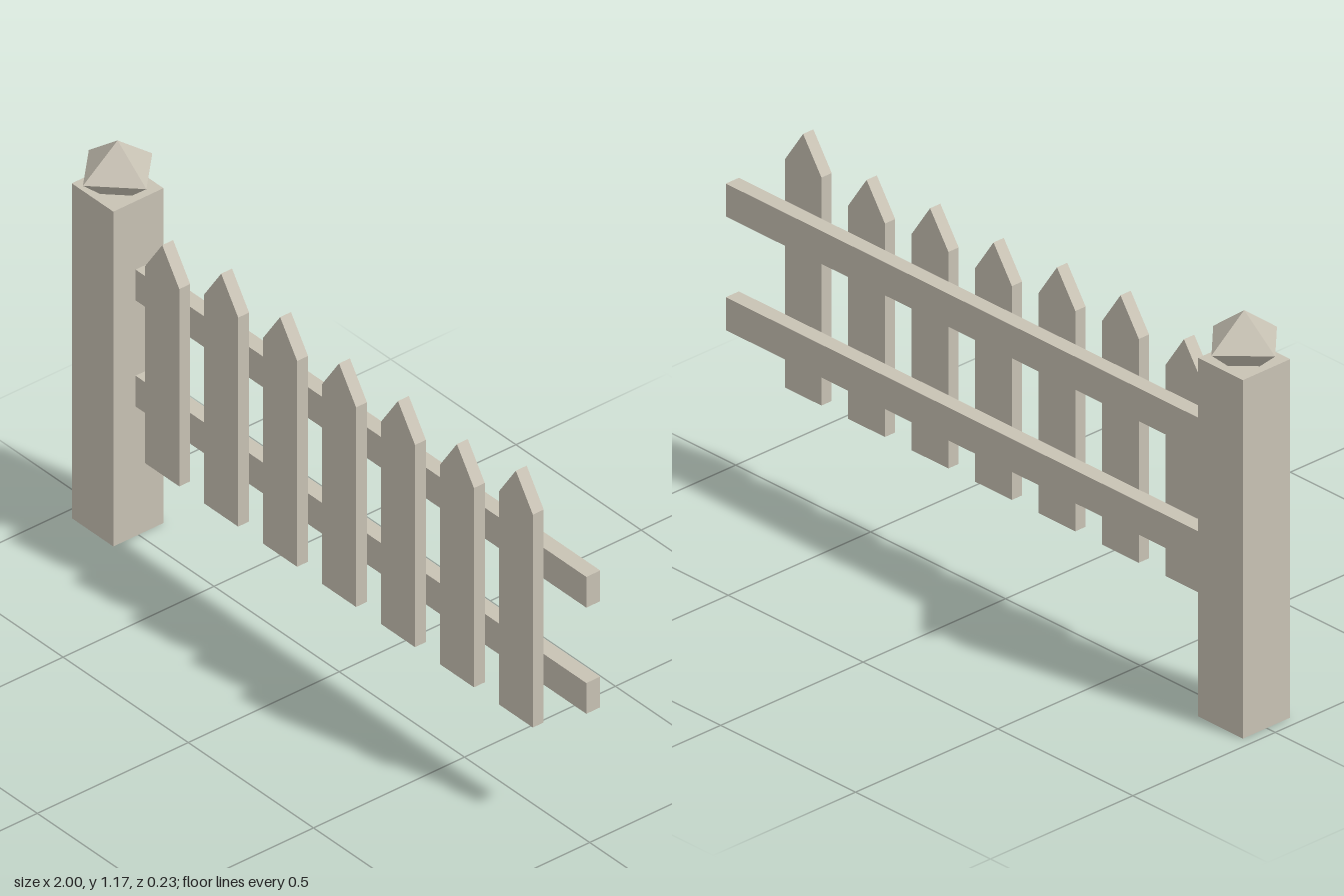
import * as THREE from 'three';

export function createModel() {
  const wood = new THREE.MeshStandardMaterial({ color: 0xc8c2b4 });
  wood.name = 'weathered wood';
  const fence = new THREE.Group();
  fence.name = 'picketFence';

  const add = (name, geometry, x, y, z) => {
    const mesh = new THREE.Mesh(geometry, wood);
    mesh.name = name;
    mesh.position.set(x, y, z);
    fence.add(mesh);
  };

  // Square post
  const postX = -0.885;
  const postHeight = 1.035;
  add('post', new THREE.BoxGeometry(0.166, postHeight, 0.166), postX, postHeight / 2, 0);

  // Faceted cap, its corners turned to the middle of the post sides
  const profile = [[0, 0], [0.058, 0], [0.115, 0.05], [0, 0.14]];
  const cap = new THREE.LatheGeometry(profile.map(([r, y]) => new THREE.Vector2(r, y)), 4).toNonIndexed();
  cap.computeVertexNormals();
  add('postCap', cap, postX, postHeight, 0);

  // Two rails running from the post
  for (const [name, y] of [['lowerRail', 0.45], ['upperRail', 0.778]]) {
    add(name, new THREE.BoxGeometry(1.8, 0.095, 0.046), 0.1, y, -0.012);
  }

  // Pointed pickets of slightly varied height
  const bottom = 0.286;
  const halfWidth = 0.068;
  const tips = [0.996, 1.032, 1.022, 1.003, 1.011, 1.002, 1.044];
  tips.forEach((tip, i) => {
    const height = tip - bottom;
    const shoulder = height - 0.1;
    const shape = new THREE.Shape([
      new THREE.Vector2(-halfWidth, 0),
      new THREE.Vector2(halfWidth, 0),
      new THREE.Vector2(halfWidth, shoulder),
      new THREE.Vector2(0, height),
      new THREE.Vector2(-halfWidth, shoulder),
    ]);
    const geometry = new THREE.ExtrudeGeometry(shape, { depth: 0.036, bevelEnabled: false });
    add(`picket${i + 1}`, geometry, -0.65 + i * 0.2353, bottom, 0.011);
  });

  return fence;
}
